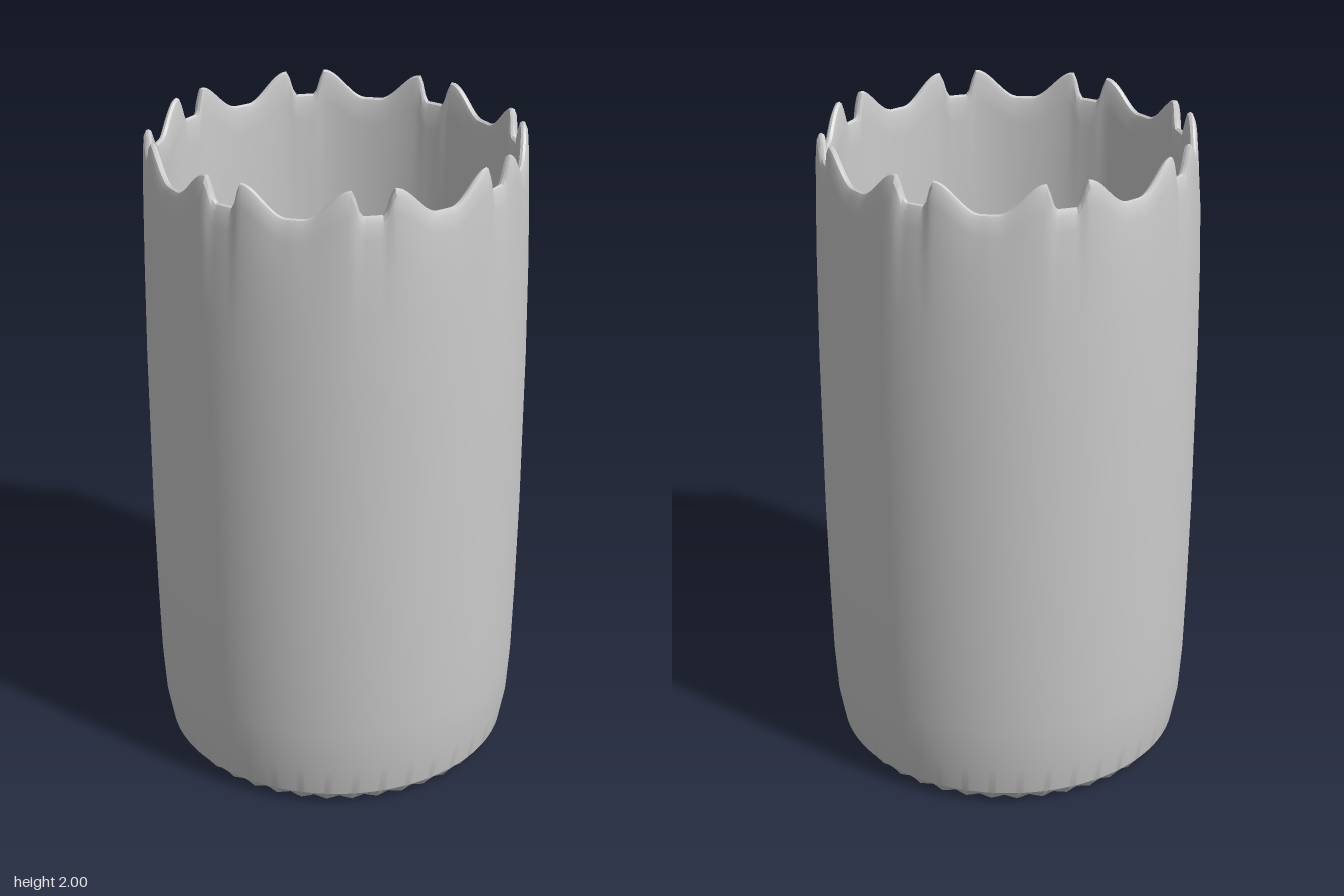
import * as THREE from 'three';
import { toCreasedNormals } from 'three/addons/utils/BufferGeometryUtils.js';

const COLUMNS = 320;
const smooth = THREE.MathUtils.smoothstep;

// How far the rim dips at an angle: eight pairs of teeth, each with a narrow notch
// between its two peaks and a wide valley to the next pair.
function rimDip(angle) {
  const deg = THREE.MathUtils.radToDeg(angle) - 5;
  const a = Math.abs(THREE.MathUtils.euclideanModulo(deg + 22.5, 45) - 22.5);
  return a < 6.3 ? 0.075 * (1 - smooth(a, 3, 6.3)) : 0.085 * smooth(a, 6.3, 20);
}

// Sweeps a profile around y. Each row: radius, height, share of the rim dip, fold depth.
function sweep(rows) {
  const point = (i, j) => {
    const angle = (i % COLUMNS) / COLUMNS * Math.PI * 2;
    const [radius, height, dip, fold] = rows[j];
    const drop = rimDip(angle);
    const zigzag = Math.abs((i % 8) - 4) / 4 - 0.5;
    const r = radius + fold * zigzag - dip * drop * 0.06;
    return [r * Math.sin(angle), height - dip * drop, r * Math.cos(angle)];
  };
  const positions = [];
  for (let j = 0; j < rows.length - 1; j++) {
    for (let i = 0; i < COLUMNS; i++) {
      const a = point(i, j), b = point(i + 1, j);
      const c = point(i + 1, j + 1), d = point(i, j + 1);
      if (rows[j][0] > 0) positions.push(...a, ...b, ...c);
      if (rows[j + 1][0] > 0) positions.push(...a, ...c, ...d);
      // at a pole only one triangle remains
      if (rows[j + 1][0] === 0) positions.splice(-9, 9, ...a, ...b, ...c);
    }
  }
  const geometry = new THREE.BufferGeometry();
  geometry.setAttribute('position', new THREE.Float32BufferAttribute(positions, 3));
  return toCreasedNormals(geometry, 0.5);
}

export function createModel() {
  const group = new THREE.Group();
  group.name = 'cup';
  const material = new THREE.MeshStandardMaterial({ color: 0xcccccc });

  const parts = {
    // flat base, bevelled foot and gently bulging wall up to the toothed rim
    outerWall: [
      [0, 0, 0, 0], [0.495, 0, 0, 0.018], [0.534, 0.04, 0, 0], [0.552, 0.14, 0, 0],
      [0.561, 0.28, 0, 0], [0.566, 0.5, 0, 0], [0.57, 0.8, 0, 0], [0.57, 1.3, 0, 0],
      [0.566, 1.6, 0, 0], [0.562, 1.8, 0.4, 0], [0.558, 1.93, 0.9, 0], [0.554, 1.98, 1, 0],
      [0.547, 1.997, 1, 0], [0.54, 2, 1, 0],
    ],
    // rounded lip, smooth inside and a dished floor with radial folds
    innerWall: [
      [0.54, 2, 1, 0], [0.532, 1.995, 1, 0], [0.527, 1.975, 1, 0], [0.525, 1.9, 0.8, 0],
      [0.525, 1.6, 0, 0], [0.525, 0.5, 0, 0], [0.505, 0.32, 0, 0], [0.455, 0.21, 0, 0.04],
      [0.395, 0.16, 0, 0.03], [0.285, 0.11, 0, 0.07], [0, 0.06, 0, 0],
    ],
  };
  for (const [name, rows] of Object.entries(parts)) {
    const mesh = new THREE.Mesh(sweep(rows), material);
    mesh.name = name;
    group.add(mesh);
  }
  return group;
}
